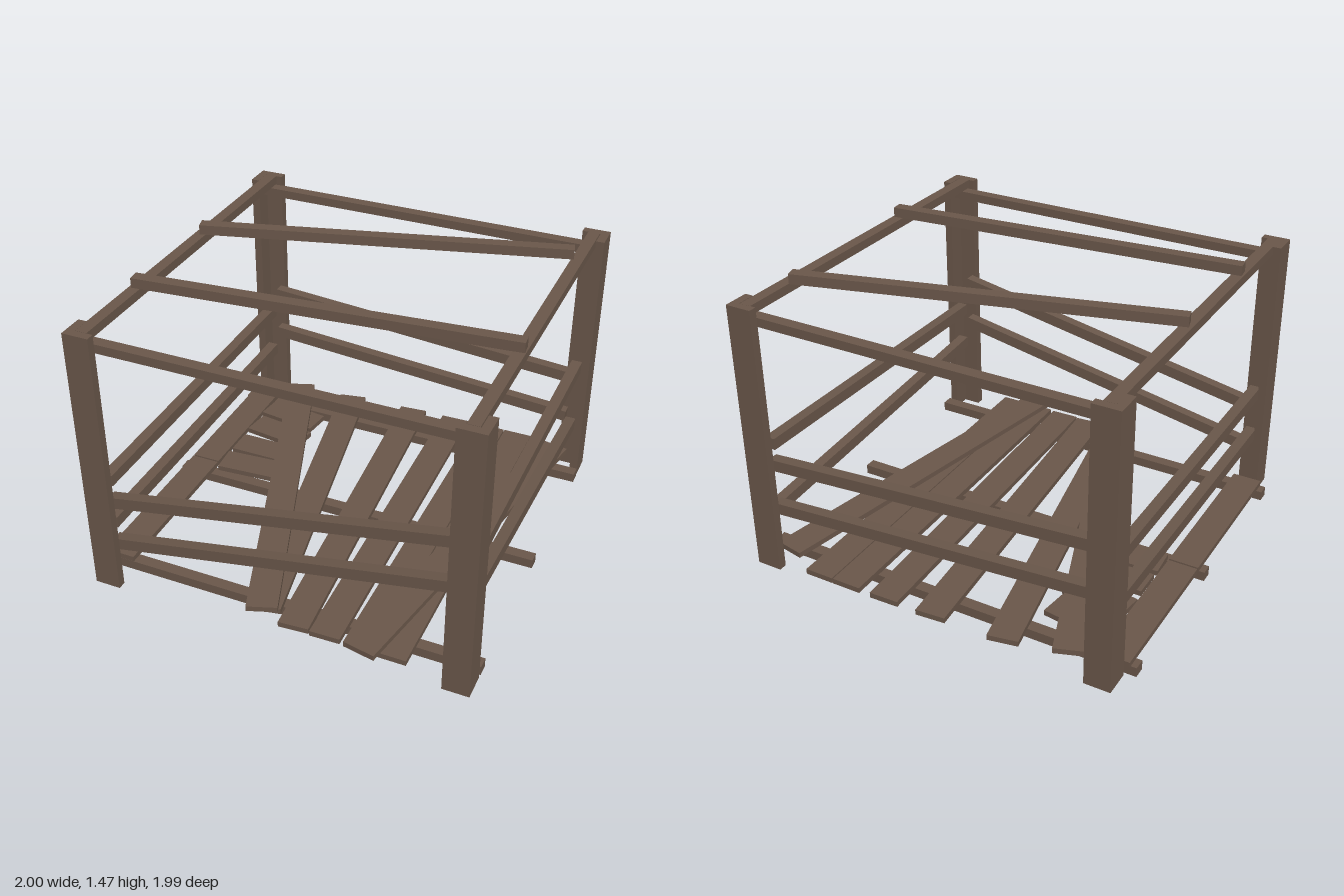
import * as THREE from 'three';

export function createModel() {
  const model = new THREE.Group();
  model.name = 'woodenFrame';
  const wood = new THREE.MeshStandardMaterial({ color: 0x6a574a });
  wood.name = 'weatheredWood';

  // Straight timber between two centre points, kept upright about its length
  function bar(name, from, to, height, depth) {
    const a = new THREE.Vector3(...from);
    const b = new THREE.Vector3(...to);
    const dir = b.clone().sub(a);
    const mesh = new THREE.Mesh(new THREE.BoxGeometry(dir.length(), height, depth), wood);
    dir.normalize();
    const side = dir.clone().cross(new THREE.Vector3(0, 1, 0)).normalize();
    const up = side.clone().cross(dir);
    mesh.quaternion.setFromRotationMatrix(new THREE.Matrix4().makeBasis(dir, up, side));
    mesh.position.copy(a).add(b).multiplyScalar(0.5);
    mesh.name = name;
    model.add(mesh);
  }

  // Corner posts: L-shaped section opening towards the inside
  const W = 0.133, T = 0.042, H = 1.415;
  const section = new THREE.Shape([[0, 0], [W, 0], [W, T], [T, T], [T, W], [0, W]]
    .map(([x, y]) => new THREE.Vector2(x, y)));
  const postGeometry = new THREE.ExtrudeGeometry(section, { depth: H, bevelEnabled: false });
  postGeometry.rotateX(-Math.PI / 2);
  const posts = [
    ['frontRightPost', -0.945, 0.955, 0], ['frontLeftPost', 0.998, 0.955, 1],
    ['backLeftPost', 0.998, -0.985, 2], ['backRightPost', -0.945, -0.985, 3],
  ];
  for (const [name, x, z, turns] of posts) {
    const post = new THREE.Mesh(postGeometry, wood);
    post.position.set(x, 0, z);
    post.rotation.y = turns * Math.PI / 2;
    post.name = name;
    model.add(post);
  }

  // Top rails
  const xL = -0.873, xR = 0.923, zF = 0.882, zB = -0.917;
  for (const z of [zF, zB]) bar('crossRail', [-0.9, 1.343, z], [0.95, 1.343, z], 0.045, 0.058);
  for (const x of [xL, xR]) bar('sideRail', [x, 1.393, -0.945], [x, 1.393, 0.912], 0.045, 0.058);

  // Loose roof poles
  bar('roofPole', [-0.88, 1.44, -0.17], [0.9, 1.44, -0.645], 0.05, 0.06);
  bar('roofPole', [-0.89, 1.44, 0.447], [0.945, 1.44, 0.285], 0.05, 0.06);

  // Slanting wall boards: start and end heights
  for (const [y0, y1] of [[0.485, 0.815], [0.237, 0.567]])
    bar('frontBoard', [-0.84, y0, zF], [0.89, y1, zF], 0.06, 0.055);
  for (const [y0, y1] of [[0.715, 0.583], [0.467, 0.335]])
    bar('backBoard', [-0.84, y0, zB], [0.89, y1, zB], 0.06, 0.055);
  for (const [x, y0, y1] of [[xR, 0.645, 0.665], [xR, 0.435, 0.305], [xL, 0.58, 0.6], [xL, 0.33, 0.35]])
    bar('sideBoard', [x, y0, 0.86], [x, y1, -0.89], 0.06, 0.055);

  // Floor joists
  for (const z of [-0.807, -0.025, 0.775]) bar('joist', [-1, 0.025, z], [1, 0.025, z], 0.05, 0.06);

  // Floor boards: x, z at the back, x, z at the front, layer
  const boards = [
    [-0.895, -0.85, -0.895, -0.08, 0], [-0.895, -0.07, -0.895, 0.805, 0],
    [-0.715, -0.935, -0.055, 0.905, 1], [-0.4, -0.98, -0.055, 0.87, 0],
    [-0.022, -0.995, 0.12, 0.93, 0], [0.235, -0.998, 0.28, 0.93, 0],
    [0.452, -0.998, 0.452, 0.935, 0], [0.61, -0.998, 0.61, 0.935, 0],
    [0.842, -0.93, 0.476, 0.978, 1],
  ];
  for (const [x0, z0, x1, z1, layer] of boards)
    bar('floorBoard', [x0, 0.065 + layer * 0.03, z0], [x1, 0.065 + layer * 0.03, z1], 0.028, 0.152);

  // Short broken floor boards
  for (const [z0, z1] of [[-0.685, -0.64], [-0.505, -0.46], [-0.295, -0.295], [-0.115, -0.138]])
    bar('shortBoard', [-0.805, 0.065, z0], [-0.48, 0.065, z1], 0.028, 0.15);

  return model;
}
